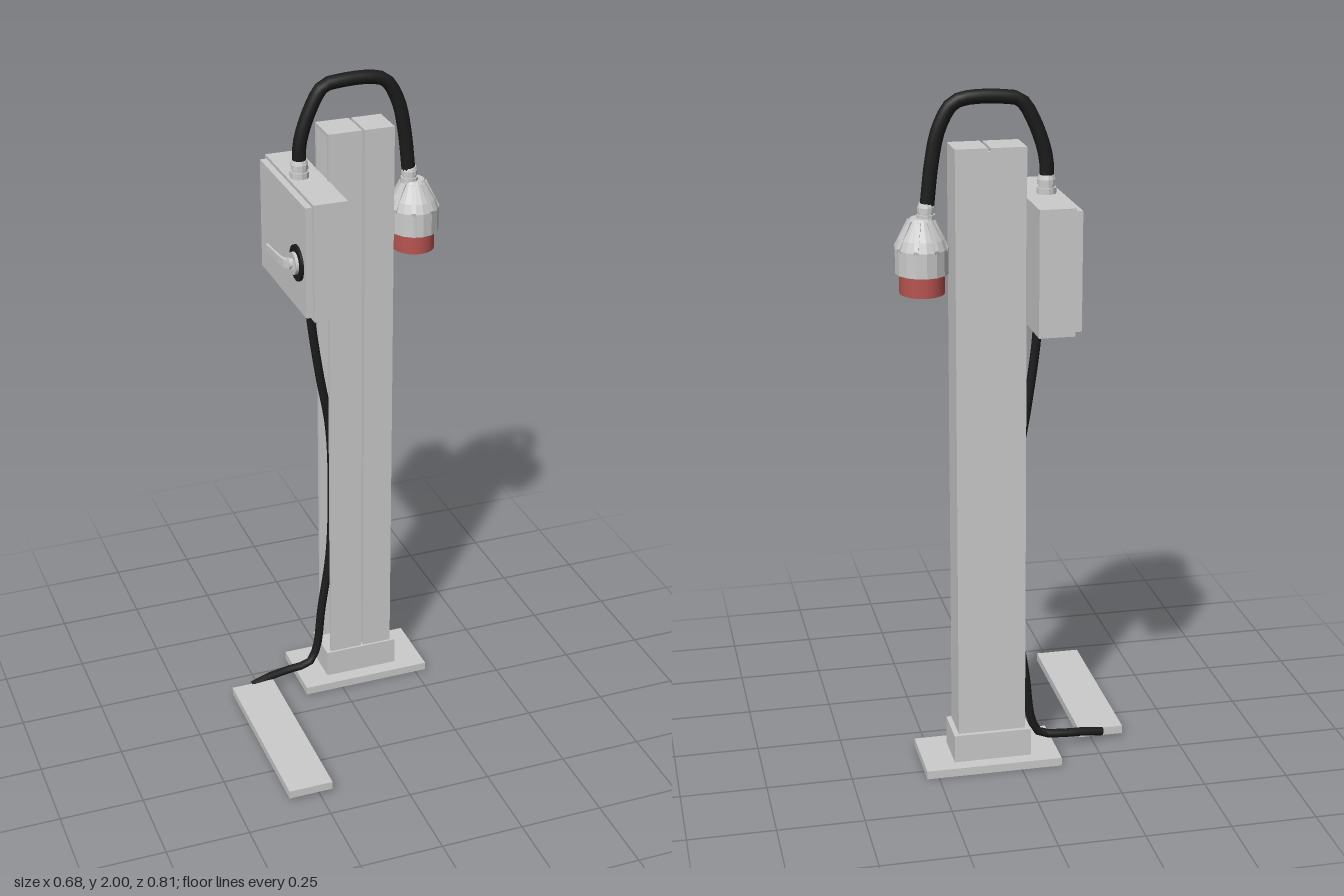
import * as THREE from 'three';

const grey = new THREE.MeshStandardMaterial({ color: 0xcccccc });
const greyFlat = new THREE.MeshStandardMaterial({ color: 0xcccccc, flatShading: true });
const black = new THREE.MeshStandardMaterial({ color: 0x1c1c1c });
const red = new THREE.MeshStandardMaterial({ color: 0xb85450 });
const V = (x, y, z) => new THREE.Vector3(x, y, z);

export function createModel() {
  const root = new THREE.Group();

  const add = (name, geometry, material = grey, parent = root) => {
    const mesh = new THREE.Mesh(geometry, material);
    mesh.name = name;
    parent.add(mesh);
    return mesh;
  };
  // Box given by its limits on each axis
  const box = (name, x0, x1, y0, y1, z0, z1, mat) => {
    const m = add(name, new THREE.BoxGeometry(x1 - x0, y1 - y0, z1 - z0), mat);
    m.position.set((x0 + x1) / 2, (y0 + y1) / 2, (z0 + z1) / 2);
    return m;
  };
  // Plan outline of [x, z] points raised from y0 to y1
  const prism = (name, pts, y0, y1, mat) => {
    const shape = new THREE.Shape(pts.map(([x, z]) => new THREE.Vector2(x, -z)));
    const g = new THREE.ExtrudeGeometry(shape, { depth: y1 - y0, bevelEnabled: false });
    g.rotateX(-Math.PI / 2).translate(0, y0, 0);
    return add(name, g, mat);
  };
  // Round hose through points, closed by its ends being buried
  const hose = (name, pts, radius, segments) => add(name, new THREE.TubeGeometry(
    new THREE.CatmullRomCurve3(pts.map(p => V(...p)), false, 'centripetal'), segments, radius, 10), black);
  const lathe = (name, pts, sides, mat, parent) => add(name,
    new THREE.LatheGeometry(pts.map(p => new THREE.Vector2(...p)), sides), mat, parent);

  // Base plate, collar and foot pedal
  box('basePlate', -0.12, 0.285, 0, 0.025, -0.3, -0.085);
  box('postCollar', -0.035, 0.195, 0.025, 0.11, -0.26, -0.128);
  box('footPedal', -0.345, -0.21, 0.01, 0.035, -0.155, 0.405);

  // Post: cable channel open to -x, and a narrow seam in the front
  prism('post', [
    [-0.02, -0.135], [-0.02, -0.147], [0.035, -0.147], [0.035, -0.233],
    [-0.02, -0.233], [-0.02, -0.247], [0.18, -0.247], [0.18, -0.135],
    [0.089, -0.135], [0.089, -0.235], [0.081, -0.235], [0.081, -0.135],
  ], 0.11, 1.84);
  box('postCapLeft', 0.089, 0.18, 1.838, 1.85, -0.247, -0.135);
  box('postCapRight', -0.02, 0.081, 1.838, 1.85, -0.247, -0.135);

  // Control box with its door
  box('controlBox', -0.12, -0.018, 1.355, 1.71, -0.405, 0.02);
  box('boxDoor', -0.14, -0.12, 1.365, 1.70, -0.395, 0.008);

  // Door handle: discs along -x, then a bent lever
  const handle = new THREE.Group();
  handle.name = 'doorHandle';
  handle.position.set(-0.14, 1.51, -0.06);
  handle.rotation.z = Math.PI / 2;
  root.add(handle);
  const disc = (name, r, h0, h1, mat) => {
    add(name, new THREE.CylinderGeometry(r, r, h1 - h0, 24), mat, handle).position.y = (h0 + h1) / 2;
  };
  disc('handleSeal', 0.053, 0, 0.008, black);
  disc('handleRose', 0.033, 0.008, 0.017, grey);
  disc('handleNeck', 0.016, 0.017, 0.03, grey);
  prism('handleLever', [
    [-0.155, -0.04], [-0.17, -0.052], [-0.18, -0.068], [-0.186, -0.1], [-0.192, -0.193],
    [-0.185, -0.193], [-0.179, -0.11], [-0.172, -0.082], [-0.155, -0.07],
  ], 1.498, 1.522);

  // Supply cable runs from the box, down the channel, to the pedal
  hose('supplyCable', [
    [-0.067, 1.37, -0.185], [-0.062, 1.28, -0.185], [-0.035, 1.08, -0.185], [-0.005, 0.9, -0.185],
    [0.003, 0.7, -0.185], [-0.005, 0.45, -0.185], [-0.035, 0.25, -0.182], [-0.055, 0.1, -0.18],
    [-0.08, 0.055, -0.178], [-0.15, 0.043, -0.178], [-0.22, 0.037, -0.17], [-0.28, 0.025, -0.158],
  ], 0.013, 44);

  // Lamp hose arching over the post
  hose('lampHose', [
    [-0.085, 1.74, -0.2], [-0.083, 1.81, -0.2], [-0.05, 1.91, -0.2], [-0.012, 1.97, -0.2],
    [0.03, 1.98, -0.2], [0.14, 1.98, -0.2], [0.178, 1.965, -0.2], [0.215, 1.9, -0.2],
    [0.235, 1.81, -0.2], [0.25, 1.68, -0.2],
  ], 0.02, 28);

  // Ribbed glands at both ends of the hose
  const gland = (name, x, y, s) => {
    const g = lathe(name, [[0, 0], [0.028, 0], [0.028, 0.018], [0.023, 0.018], [0.023, 0.026],
      [0.026, 0.026], [0.026, 0.04], [0.022, 0.052], [0, 0.052]], 12, greyFlat);
    g.position.set(x, y, -0.2);
    g.scale.setScalar(s);
  };
  gland('boxGland', -0.085, 1.71, 1);
  gland('lampGland', 0.252, 1.65, 0.92);

  // Lamp: faceted housing, slightly narrower in x, with a red lens ring
  const lamp = new THREE.Group();
  lamp.name = 'lamp';
  lamp.position.set(0.265, 0, -0.2);
  lamp.scale.x = 0.9;
  root.add(lamp);
  lathe('lampHousing', [[0, 1.505], [0.083, 1.505], [0.083, 1.575], [0.072, 1.602],
    [0.04, 1.65], [0.034, 1.658], [0, 1.658]], 16, greyFlat, lamp);
  add('lampLens', new THREE.CylinderGeometry(0.07, 0.07, 0.06, 24), red, lamp).position.y = 1.477;

  // Tapered ribs on the shoulder of the housing
  const ribShape = new THREE.Shape([[0.03, 1.652], [0.044, 1.652], [0.084, 1.58], [0.08, 1.56], [0.03, 1.56]]
    .map(p => new THREE.Vector2(...p)));
  for (let i = 0; i < 8; i++) {
    const g = new THREE.ExtrudeGeometry(ribShape, { depth: 0.014, bevelEnabled: false });
    g.translate(0, 0, -0.007);
    add('lampRib', g, greyFlat, lamp).rotation.y = (i + 0.5) * Math.PI / 4;
  }
  return root;
}
